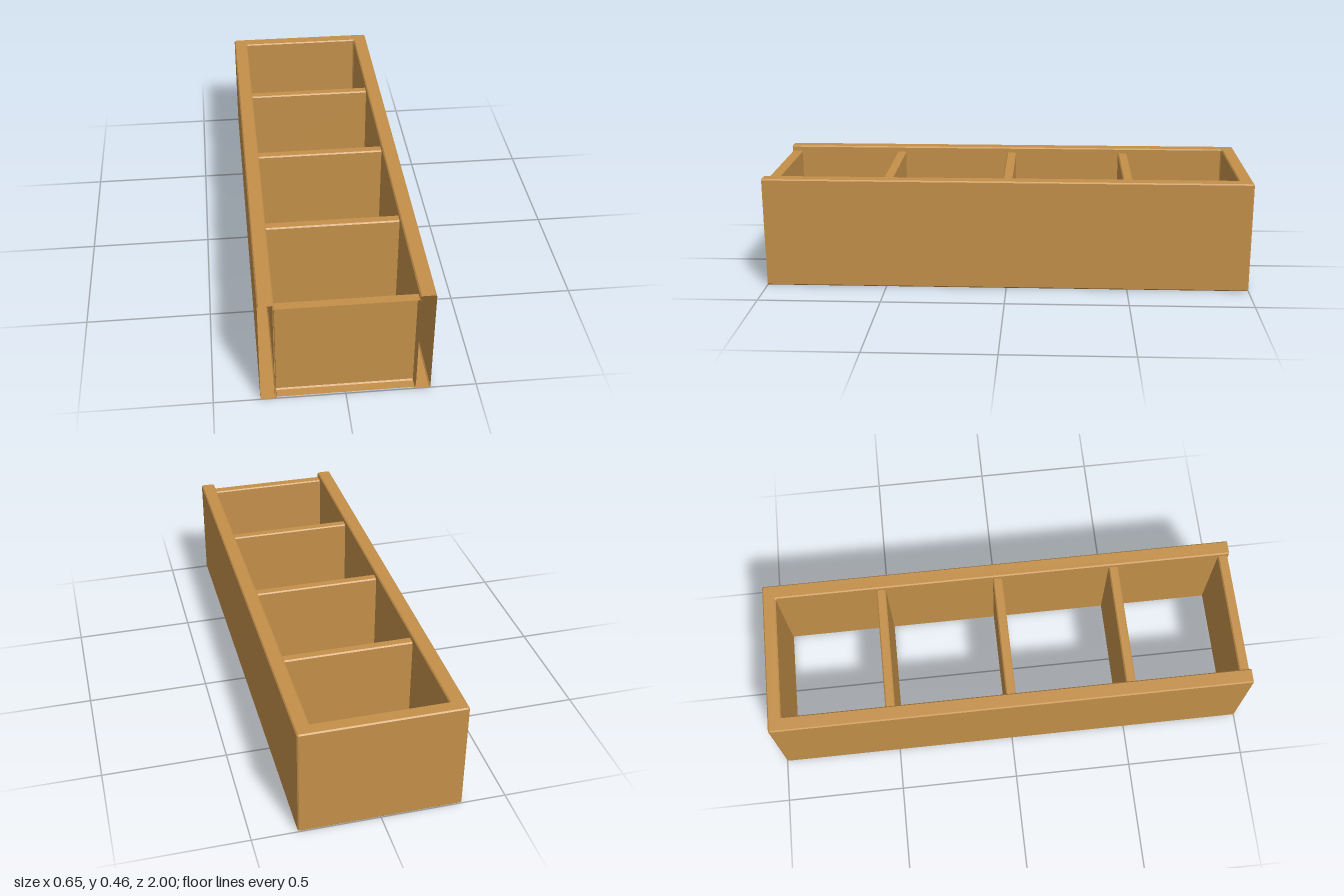
import * as THREE from 'three';

const CHAMFER = 0.005;

// Rectangle outline with cut corners, counter-clockwise.
function chamferedRect(x0, x1, y0, y1, c) {
  return [
    [x0 + c, y0], [x1 - c, y0], [x1, y0 + c], [x1, y1 - c],
    [x1 - c, y1], [x0 + c, y1], [x0, y1 - c], [x0, y0 + c],
  ];
}

// Skins a row of closed rings with flat faces; either end may be capped.
function loft(rings, capStart, capEnd) {
  const positions = [];
  const tri = (a, b, c) => positions.push(...a, ...b, ...c);
  const n = rings[0].length;
  for (let r = 0; r < rings.length - 1; r++) {
    const a = rings[r], b = rings[r + 1];
    for (let i = 0; i < n; i++) {
      const j = (i + 1) % n;
      tri(a[i], a[j], b[j]);
      tri(a[i], b[j], b[i]);
    }
  }
  const first = rings[0], last = rings[rings.length - 1];
  for (let i = 1; i < n - 1; i++) {
    if (capStart) tri(first[0], first[i + 1], first[i]);
    if (capEnd) tri(last[0], last[i], last[i + 1]);
  }
  const geometry = new THREE.BufferGeometry();
  geometry.setAttribute('position', new THREE.Float32BufferAttribute(positions, 3));
  geometry.computeVertexNormals();
  return geometry;
}

// Cross panel with chamfered edges; the front can be left open.
function panelGeometry(z0, z1, openFront) {
  const c = CHAMFER;
  const ring = (z, inset) =>
    chamferedRect(-0.268 + inset, 0.268 - inset, 0.003 + inset, 0.436 - inset, c)
      .map(([x, y]) => [x, y, z]);
  const rings = [ring(z0, c), ring(z0 + c, 0)];
  if (openFront) rings.push(ring(z1, 0));
  else rings.push(ring(z1 - c, 0), ring(z1, c));
  return loft(rings, true, !openFront);
}

// Hollow U-shaped wall: a chamfered section swept round the two back corners.
function frameGeometry() {
  const halfWidth = 0.323, c = CHAMFER;
  const section = chamferedRect(0, 0.06, 0, 0.458, c);
  const stations = [
    (o) => [halfWidth - o, 1],
    (o) => [halfWidth - o, -1 + 0.92 * o + c],
    (o) => [halfWidth - o - c, -1 + 0.92 * o],
  ];
  const right = stations.map((at) => section.map(([o, y]) => {
    const [x, z] = at(o);
    return [x, y, z];
  }));
  const left = right.map((ring) => ring.map(([x, y, z]) => [-x, y, z])).reverse();
  return loft([...right, ...left], false, false);
}

export function createModel() {
  const group = new THREE.Group();
  group.name = 'dividedTray';
  const wood = new THREE.MeshStandardMaterial({ color: 0xc4904a, side: THREE.DoubleSide });
  wood.name = 'wood';

  const add = (name, geometry) => {
    const mesh = new THREE.Mesh(geometry, wood);
    mesh.name = name;
    group.add(mesh);
  };

  // Side and back walls
  add('frame', frameGeometry());

  // Inner dividers
  [-0.5, 0, 0.5].forEach((z, i) => {
    add(`divider${i + 1}`, panelGeometry(z - 0.02, z + 0.02, false));
  });

  // Front panel, hollow from the front
  add('frontPanel', panelGeometry(0.955, 0.995, true));

  return group;
}
